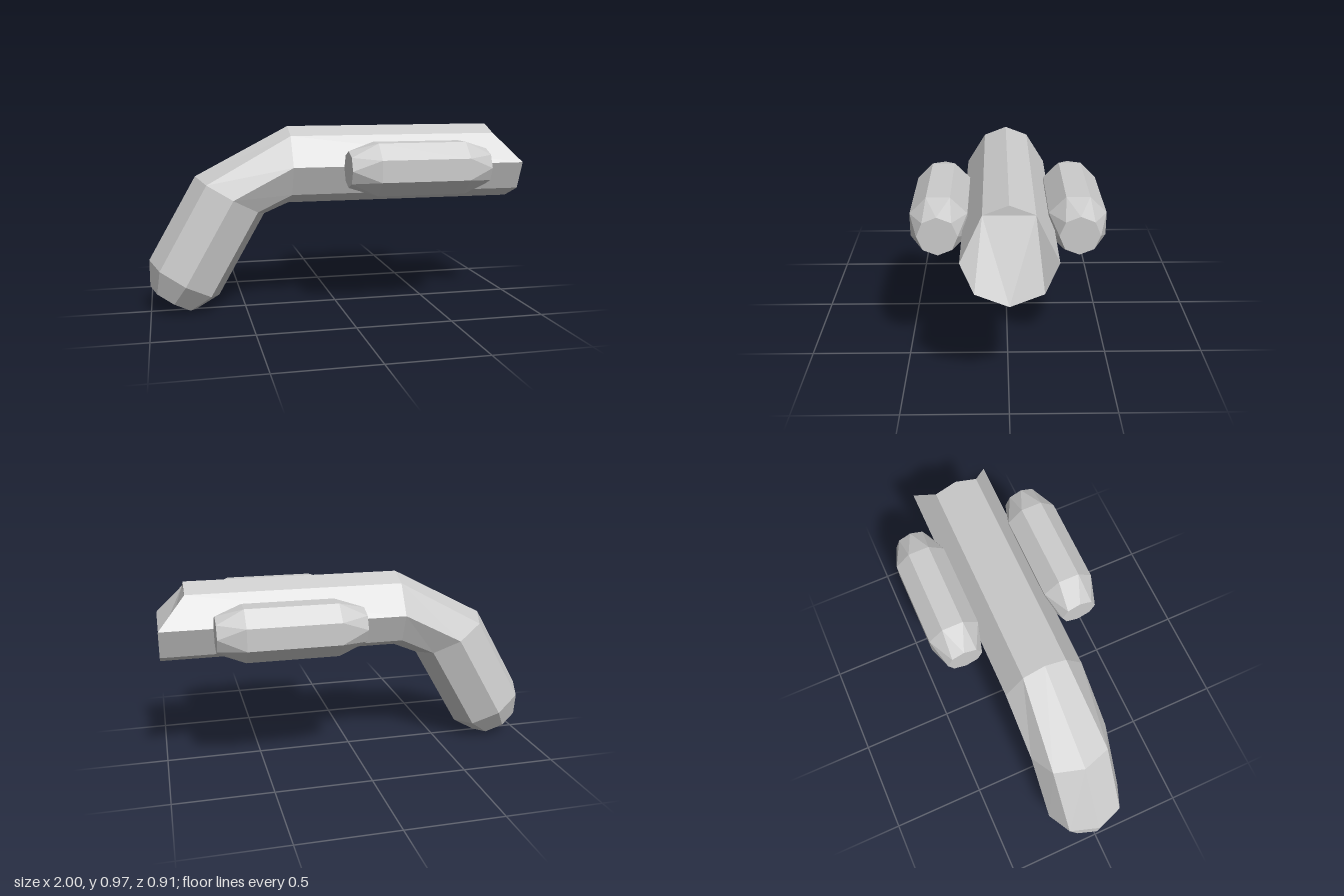
import * as THREE from 'three';
import { ConvexGeometry } from 'three/addons/geometries/ConvexGeometry.js';

const material = new THREE.MeshStandardMaterial({ color: 0xcccccc, flatShading: true });

// Half sections of the body as [x, y, z], from the top ridge round to the keel
const sections = [
  [[0.86, 0.975, 0], [0.86, 0.93, 0.115], [1, 0.775, 0.21], [1, 0.627, 0.15], [1, 0.565, 0]],
  [[-0.26, 0.975, 0], [-0.26, 0.93, 0.115], [-0.26, 0.775, 0.21], [-0.26, 0.627, 0.15], [-0.26, 0.565, 0]],
  [[-0.75, 0.72, 0], [-0.7, 0.69, 0.15], [-0.57, 0.615, 0.21], [-0.44, 0.542, 0.15], [-0.39, 0.51, 0]],
  [[-1, 0.283, 0], [-0.948, 0.253, 0.15], [-0.82, 0.178, 0.21], [-0.69, 0.104, 0.15], [-0.64, 0.073, 0]],
  [[-1, 0.142, 0], [-0.965, 0.122, 0.1], [-0.88, 0.073, 0.14], [-0.797, 0.023, 0.1], [-0.762, 0.003, 0]],
];

// Closed eight-point ring from a half section
function mirrorSection(half) {
  const other = half.slice(1, 4).reverse().map(([x, y, z]) => [x, y, -z]);
  return [...half, ...other];
}

function createBody() {
  const n = 8;
  const positions = sections.flatMap(mirrorSection).flat();
  const index = [];
  // Side walls
  for (let s = 0; s < sections.length - 1; s++) {
    for (let i = 0; i < n; i++) {
      const a = s * n + i;
      const b = s * n + ((i + 1) % n);
      index.push(a, a + n, b, a + n, b + n, b);
    }
  }
  // Faceted sloping nose
  index.push(0, 1, 7, 1, 2, 3, 1, 3, 4, 1, 4, 7, 4, 5, 7, 5, 6, 7);
  // Flat end of the grip
  const e = (sections.length - 1) * n;
  for (let i = 1; i < n - 1; i++) index.push(e, e + i + 1, e + i);

  const geometry = new THREE.BufferGeometry();
  geometry.setAttribute('position', new THREE.Float32BufferAttribute(positions, 3));
  geometry.setIndex(index);
  const flat = geometry.toNonIndexed();
  flat.computeVertexNormals();
  return new THREE.Mesh(flat, material);
}

// Octagonal pod whose smaller end faces are turned by half a side
function createPod() {
  const points = [];
  for (const [x, radius, turn] of [[0, 0.093, 0], [0.14, 0.144, 0.5], [0.6, 0.144, 0.5], [0.735, 0.093, 0]]) {
    for (let i = 0; i < 8; i++) {
      const angle = ((i + turn) * Math.PI) / 4;
      points.push(new THREE.Vector3(x, radius * Math.cos(angle), radius * Math.sin(angle)));
    }
  }
  return new THREE.Mesh(new ConvexGeometry(points), material);
}

export function createModel() {
  const model = new THREE.Group();
  const body = createBody();
  body.name = 'bentBody';
  model.add(body);

  for (const [name, side] of [['frontPod', 1], ['backPod', -1]]) {
    const pod = createPod();
    pod.name = name;
    pod.position.set(0, 0.773, side * 0.32);
    model.add(pod);
  }
  return model;
}
